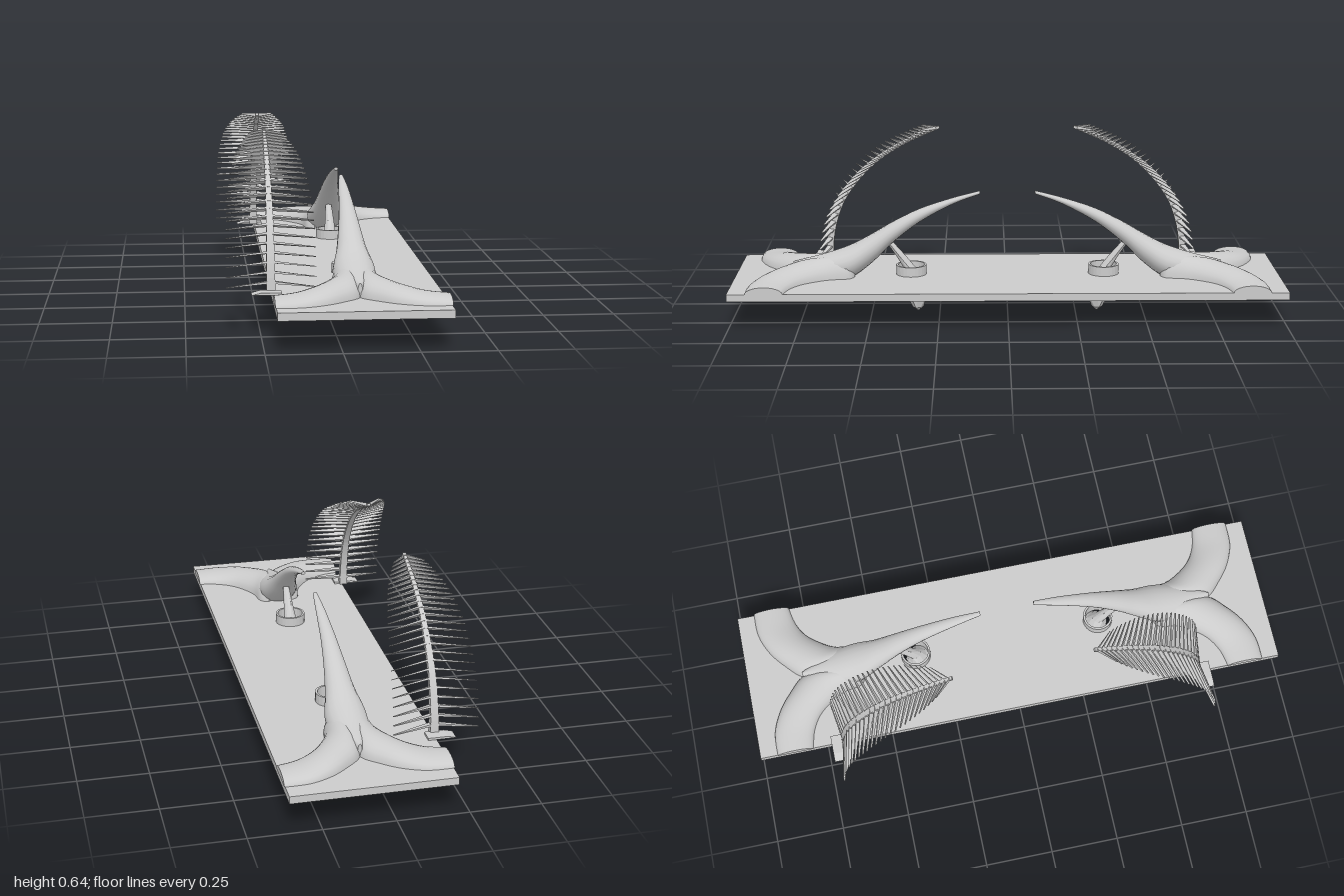
import * as THREE from 'three';
import { mergeGeometries } from 'three/addons/utils/BufferGeometryUtils.js';

const CX = 0.075;          // centre line of the slab
const TOP = 0.137;         // top face of the slab
const STEM_X = -0.214;
const material = new THREE.MeshStandardMaterial({ color: 0xcccccc, side: THREE.DoubleSide });
const flatMaterial = material.clone();
flatMaterial.flatShading = true;

function mesh(name, geometry, mat = material) {
  const m = new THREE.Mesh(geometry, mat);
  m.name = name;
  return m;
}

// Smoothly resample a short table of section parameters
function resample(rows, steps) {
  const out = [];
  const n = rows.length - 1;
  for (let s = 0; s <= steps; s++) {
    const f = (s / steps) * n, i = Math.min(Math.floor(f), n - 1), t = f - i;
    const [a, b, c, d] = [i - 1, i, i + 1, i + 2].map(k => rows[THREE.MathUtils.clamp(k, 0, n)]);
    out.push(b.map((p1, k) => {
      const m1 = (c[k] - a[k]) / 2, m2 = (d[k] - p1) / 2;
      return p1 + m1 * t + (3 * (c[k] - p1) - 2 * m1 - m2) * t * t
        + (2 * (p1 - c[k]) + m1 + m2) * t * t * t;
    }));
  }
  return out;
}

// Skin a list of sections, each a list of [x, y, z] points; both ends get flat caps
function loft(sections, closed) {
  const n = sections[0].length, pos = sections.flat(2), idx = [];
  for (let r = 0; r < sections.length - 1; r++) {
    for (let i = 0; i < (closed ? n : n - 1); i++) {
      const a = r * n + i, b = r * n + (i + 1) % n;
      idx.push(a, b, a + n, b, b + n, a + n);
    }
  }
  for (const end of [sections[0], sections[sections.length - 1]]) {
    const start = pos.length / 3;
    pos.push(...end.flat());
    for (let i = 1; i < n - 1; i++) idx.push(start, start + i, start + i + 1);
  }
  const g = new THREE.BufferGeometry();
  g.setAttribute('position', new THREE.Float32BufferAttribute(pos, 3));
  g.setIndex(idx);
  g.computeVertexNormals();
  return g;
}

// Slab with two round sockets
function slab() {
  const s = new THREE.Shape();
  s.moveTo(-0.21, -1).lineTo(0.36, -1).lineTo(0.36, 1).lineTo(-0.21, 1).closePath();
  for (const z of [-0.355, 0.355]) {
    s.holes.push(new THREE.Path().absarc(CX, z, 0.05, 0, Math.PI * 2, true));
  }
  const g = new THREE.ExtrudeGeometry(s, { depth: 0.027, bevelEnabled: false, curveSegments: 20 });
  g.rotateX(Math.PI / 2).translate(0, TOP, 0);
  return mesh('slab', g);
}

// Curved root ridge that runs from the slab's edge into the horn
function root(side) {
  // outer point (x, z), inner point (x, z), height of the arch
  const rows = [
    [0.288, 0.80, 0.288, 0.935, 0.026], [0.22, 0.785, 0.2, 0.932, 0.033],
    [0.16, 0.75, 0.12, 0.90, 0.046], [0.115, 0.695, 0.055, 0.85, 0.057],
    [0.09, 0.645, 0, 0.79, 0.066], [0.077, 0.58, -0.01, 0.70, 0.072],
    [0.045, 0.56, -0.01, 0.62, 0.06],
  ];
  const sections = resample(rows, 24).map(([ax, az, bx, bz, h]) => {
    const section = [];
    for (let i = 0; i <= 12; i++) {
      const a = (i / 12) * Math.PI, k = (1 - Math.cos(a)) / 2;
      section.push([CX + side * (ax + (bx - ax) * k), TOP + h * Math.sin(a), az + (bz - az) * k]);
    }
    return section;
  });
  return mesh(side > 0 ? 'leftRoot' : 'rightRoot', loft(sections, false));
}

// Tapered horn sweeping up toward the middle
function horn() {
  // z, top, bottom, half width
  const rows = [
    [0.79, 0.185, 0.13, 0.008], [0.74, 0.197, 0.125, 0.04], [0.67, 0.214, 0.12, 0.066],
    [0.58, 0.245, 0.125, 0.073], [0.5, 0.287, 0.18, 0.054], [0.42, 0.334, 0.258, 0.04],
    [0.32, 0.383, 0.335, 0.028], [0.2, 0.423, 0.4, 0.018], [0.1, 0.449, 0.437, 0.008],
  ];
  const sections = resample(rows, 32).map(([z, hi, lo, w]) => {
    const section = [];
    for (let i = 0; i < 18; i++) {
      const a = (i / 18) * Math.PI * 2;
      section.push([CX + w * Math.cos(a), (hi + lo) / 2 + (hi - lo) / 2 * Math.sin(a), z]);
    }
    return section;
  });
  return mesh('horn', loft(sections, true));
}

// Faceted bulb below the slab, with a stalk leaning up to the horn
function bulb() {
  // centre x, y, centre z, radius x, radius z
  const rows = [
    [0.09, 0.001, 0.33, 0.004, 0.004], [0.082, 0.018, 0.332, 0.04, 0.024],
    [0.072, 0.065, 0.336, 0.066, 0.046], [0.072, 0.108, 0.34, 0.054, 0.052],
    [CX, 0.128, 0.35, 0.038, 0.036], [CX, 0.155, 0.358, 0.022, 0.022],
    [CX, 0.2, 0.39, 0.017, 0.018], [CX, 0.262, 0.438, 0.011, 0.012],
  ];
  const sections = rows.map(([x, y, z, rx, rz], r) => {
    const section = [];
    for (let i = 0; i < 9; i++) {
      const a = (i / 9) * Math.PI * 2 + r * 0.25;
      const lump = 1 + 0.06 * Math.sin(i * 2.4 + r * 1.7);
      section.push([x + rx * lump * Math.cos(a), y, z + rz * lump * Math.sin(a)]);
    }
    return section;
  });
  return mesh('bulbAndStalk', loft(sections, true), flatMaterial);
}

// Raised collar around the socket
function collar() {
  const profile = [[0.048, 0.11], [0.048, 0.172], [0.056, 0.172], [0.056, 0.13]];
  const g = new THREE.LatheGeometry(profile.map(p => new THREE.Vector2(...p)), 24);
  const m = mesh('collar', g.translate(CX, 0, 0.355), flatMaterial);
  return m;
}

// Arching frond: square stem with paired thin leaflets
function frond() {
  const group = new THREE.Group();
  group.name = 'frond';
  const curve = new THREE.CatmullRomCurve3([
    [0.678, 0.14], [0.674, 0.2], [0.66, 0.27], [0.63, 0.35], [0.575, 0.43],
    [0.5, 0.505], [0.4, 0.57], [0.255, 0.635],
  ].map(([z, y]) => new THREE.Vector3(STEM_X, y, z)));

  const sections = [];
  for (let i = 0; i <= 30; i++) {
    const t = i / 30, p = curve.getPointAt(t), d = curve.getTangentAt(t);
    const w = 0.015 - 0.009 * t, h = 0.013 - 0.008 * t;
    sections.push([[-1, -1], [1, -1], [1, 1], [-1, 1]].map(([sx, sn]) =>
      [p.x + sx * w, p.y + sn * h * d.z, p.z - sn * h * d.y]));
  }
  group.add(mesh('stem', loft(sections, true), flatMaterial));

  const leaflets = [];
  const count = 26;
  for (let i = 0; i < count; i++) {
    const k = i / (count - 1), t = 0.045 + 0.94 * (1.3 * k - 0.3 * k * k);
    const p = curve.getPointAt(t), d = curve.getTangentAt(t);
    const length = 0.151 - 0.093 * Math.pow(k, 2.6);
    for (const side of [-1, 1]) {
      const tip = [p.x + side * length, p.y - 0.012 * (1 - k), p.z + 0.03 + 0.03 * k];
      const corner = (c, sy, sz, s) => [c[0], c[1] + s * (sy * d.y + sz * d.z), c[2] + s * (sy * d.z - sz * d.y)];
      const ring = (c, s) => [[-0.4, -1], [0.4, -1], [0.4, 1], [-0.4, 1]].map(([y, z]) => corner(c, y, z, s));
      leaflets.push(loft([ring([p.x, p.y, p.z], 0.011 - 0.004 * k), ring(tip, 0.003)], true));
    }
  }
  group.add(mesh('leaflets', mergeGeometries(leaflets), flatMaterial));

  // Small foot plate that ties the frond to the slab
  const foot = new THREE.BoxGeometry(0.1, 0.008, 0.05);
  const pos = foot.attributes.position;
  for (let i = 0; i < pos.count; i++) if (pos.getX(i) < 0 && pos.getY(i) > 0) pos.setX(i, -0.02);
  group.add(mesh('foot', foot.translate(-0.23, 0.141, 0.705), flatMaterial));
  return group;
}

export function createModel() {
  const model = new THREE.Group();
  model.name = 'hornedSlab';
  model.add(slab());
  for (const side of [1, -1]) {
    const half = new THREE.Group();
    half.name = side > 0 ? 'frontHalf' : 'backHalf';
    half.add(root(1), root(-1), horn(), bulb(), collar(), frond());
    half.scale.z = side;
    model.add(half);
  }
  return model;
}
